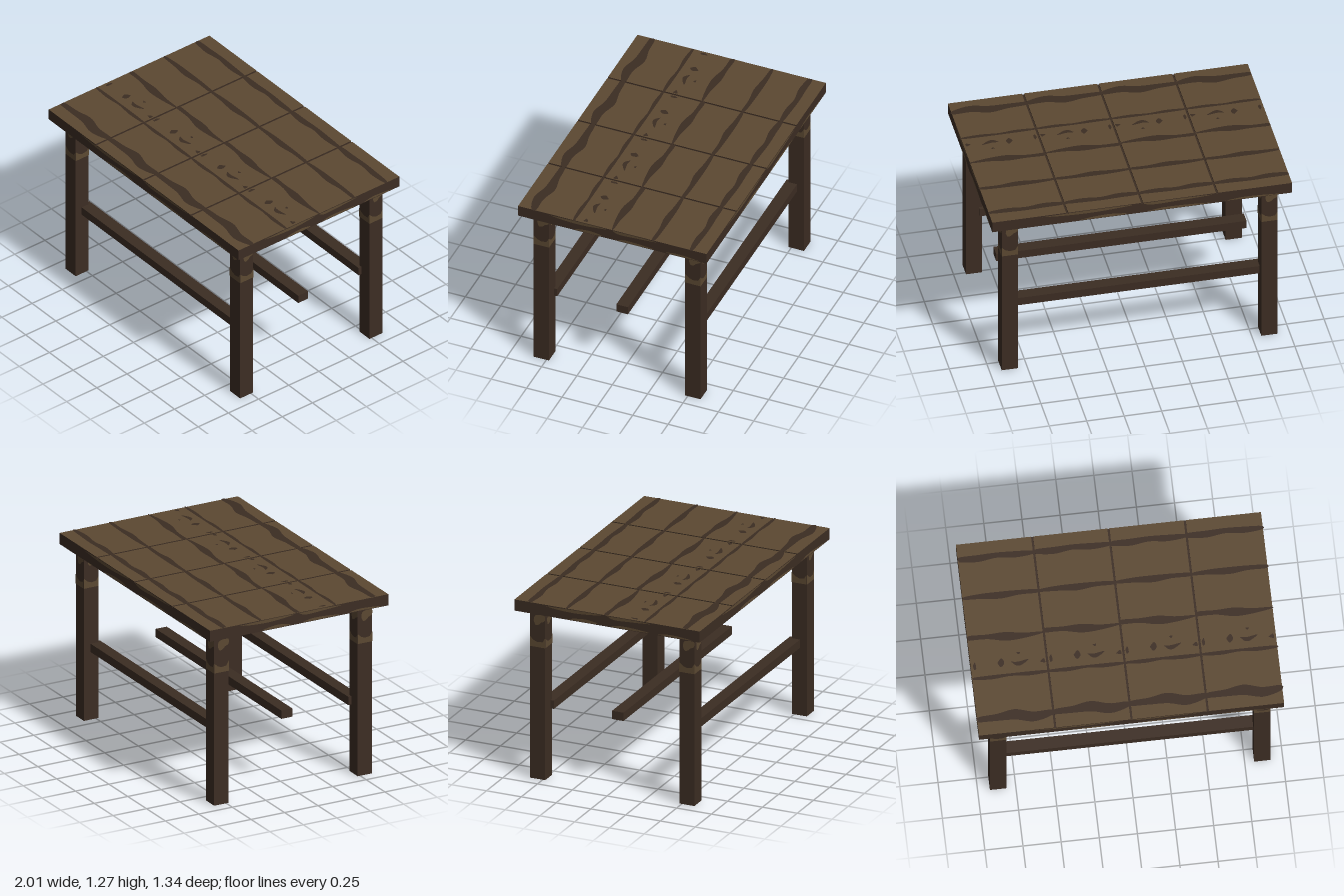
import * as THREE from 'three';

const W = 2, D = 1.332, TOP = 1.266, BOTTOM = 1.188;
const LEG = { w: 0.108, h: 1.182, x: 0.866, z: 0.536 };
const LIFT = 0.0015; // painted faces sit just above the wood

export function createModel() {
  const table = new THREE.Group();
  table.name = 'table';
  const light = new THREE.MeshStandardMaterial({ name: 'lightWood', color: 0x5c4932 });
  const dark = new THREE.MeshStandardMaterial({ name: 'darkWood', color: 0x3c2d23 });

  function box(name, w, h, d, x, y, z, material, parent = table) {
    const mesh = new THREE.Mesh(new THREE.BoxGeometry(w, h, d), material);
    mesh.name = name;
    mesh.position.set(x, y, z);
    parent.add(mesh);
    return mesh;
  }

  // Flat painted patch, smooth or straight edged
  function patch(name, points, material, parent, smooth = true) {
    const v = points.map(([x, y]) => new THREE.Vector2(x, y));
    const shape = new THREE.Shape();
    if (smooth) {
      shape.moveTo(v[0].x, v[0].y);
      shape.splineThru([...v.slice(1), v[0].clone()]);
    } else shape.setFromPoints(v);
    const mesh = new THREE.Mesh(new THREE.ShapeGeometry(shape, 4), material);
    mesh.name = name;
    parent.add(mesh);
  }

  // Empty frame lying on one of the four upright sides
  function sideFace(k, distance, parent) {
    const turn = new THREE.Group();
    turn.name = 'sideFace';
    turn.rotation.y = k * Math.PI / 2;
    const face = new THREE.Group();
    face.name = 'sideGrain';
    face.position.z = distance + LIFT;
    turn.add(face);
    parent.add(turn);
    return face;
  }

  // Four planks with shallow grooves between them
  const plankFaces = [dark, dark, light, light, dark, dark];
  const gap = 0.014, midY = (TOP + BOTTOM) / 2;
  for (let i = 0; i < 4; i++) {
    const left = -1 + i * 0.5 + (i > 0 ? gap / 2 : 0);
    const right = -0.5 + i * 0.5 - (i < 3 ? gap / 2 : 0);
    box('plank', right - left, TOP - BOTTOM, D, (left + right) / 2, midY, 0, plankFaces);
    if (i < 3) {
      box('groove', gap, TOP - BOTTOM - 0.008, D, -0.5 + i * 0.5, midY - 0.004, 0,
        [dark, dark, dark, light, dark, dark]);
    }
  }

  // Wavy grain on each plank: z, half widths along the plank, centre offsets
  const grain = [
    [-0.558, [0.016, 0.024, 0.018, 0.022, 0.012], [0, 0.004, -0.006, 0.002, 0]],
    [-0.288, [0.010, 0.018, 0.024, 0.016, 0.012], [0, -0.003, 0.002, -0.004, 0]],
    [0, [0.016, 0.016, 0.030, 0.018, 0.006], [-0.01, -0.008, 0.002, 0.008, 0]],
    [0.272, [0.008, 0.014, 0.009, 0.014, 0.008], [0, 0.002, -0.003, 0.002, 0]],
    [0.558, [0.018, 0.024, 0.036, 0.034, 0.018], [0, -0.004, -0.012, 0.016, 0]],
  ];
  const spots = [
    [[-0.075, 0.18], [-0.045, 0.15], [-0.03, 0.185], [-0.055, 0.21]],
    [[0.015, 0.18], [0.06, 0.185], [0.13, 0.175], [0.08, 0.21], [0.045, 0.21]],
    [[0.055, 0.12], [0.08, 0.12], [0.07, 0.135]],
    [[-0.235, 0.18], [-0.22, 0.16], [-0.215, 0.2], [-0.23, 0.21]],
    [[0.2, 0.2], [0.23, 0.18], [0.235, 0.21]],
  ];
  for (const up of [1, -1]) {
    const surface = new THREE.Group();
    surface.name = up > 0 ? 'upperGrain' : 'lowerGrain';
    surface.rotation.x = -up * Math.PI / 2;
    surface.position.y = up > 0 ? TOP + LIFT : BOTTOM - LIFT;
    table.add(surface);
    for (let i = 0; i < 4; i++) {
      const cx = -0.75 + i * 0.5;
      for (const [z, half, shift] of grain) {
        const edge = (s) => half.map((h, j) =>
          [cx - 0.242 + j * 0.121, -up * (z + shift[j] + s * h)]);
        patch('grainStripe', [...edge(1), ...edge(-1).reverse()], dark, surface);
      }
      for (const spot of spots) {
        patch('grainSpot', spot.map(([x, z]) => [cx + x, -up * z]), dark, surface);
      }
    }
  }

  // Light streaks on the rim of the top, stretched to each side
  const streaks = [
    [[-0.67, 1.258], [-0.52, 1.246], [-0.35, 1.242], [-0.2, 1.248], [-0.06, 1.261], [-0.35, 1.263]],
    [[-0.42, 1.194], [-0.34, 1.206], [-0.22, 1.212], [-0.1, 1.198], [-0.2, 1.191]],
    [[0.0, 1.262], [0.07, 1.243], [0.25, 1.247], [0.47, 1.258], [0.25, 1.263]],
    [[0.03, 1.194], [0.14, 1.208], [0.3, 1.206], [0.45, 1.195], [0.25, 1.191]],
    [[0.55, 1.194], [0.68, 1.207], [0.85, 1.2], [0.9, 1.192]],
  ];
  for (let k = 0; k < 4; k++) {
    const face = sideFace(k, (k % 2 ? W : D) / 2, table);
    const stretch = k % 2 ? 0.667 : 1;
    for (const s of streaks) {
      patch('rimStreak', s.map(([x, y]) => [x * stretch, y]), light, face);
    }
  }

  // Legs with a light band and a blotch near the top of every face
  const h = LEG.w / 2;
  const band = [[-h, 0.925], [h, 0.925], [h, 0.995], [0.036, 0.965], [0, 0.96], [-0.03, 0.972], [-h, 0.995]];
  const blotch = [[-0.028, 1.11], [-0.015, 1.08], [0.01, 1.085], [0.025, 1.1], [h - 0.003, 1.115],
    [h - 0.003, 1.15], [0.01, 1.152], [-0.02, 1.142]];
  for (const sx of [-1, 1]) {
    for (const sz of [-1, 1]) {
      const leg = new THREE.Group();
      leg.name = 'leg';
      leg.position.set(sx * LEG.x, 0, sz * LEG.z);
      table.add(leg);
      box('legPost', LEG.w, LEG.h, LEG.w, 0, LEG.h / 2, 0, dark, leg);
      for (let k = 0; k < 4; k++) {
        const face = sideFace(k, h, leg);
        patch('legBand', band, light, face, false);
        patch('legBlotch', blotch, light, face);
      }
    }
  }

  // Long stretchers
  for (const z of [-0.5, 0, 0.5]) {
    box('stretcher', 1.67, 0.058, 0.082, 0, 0.502, z, dark);
  }
  return table;
}
